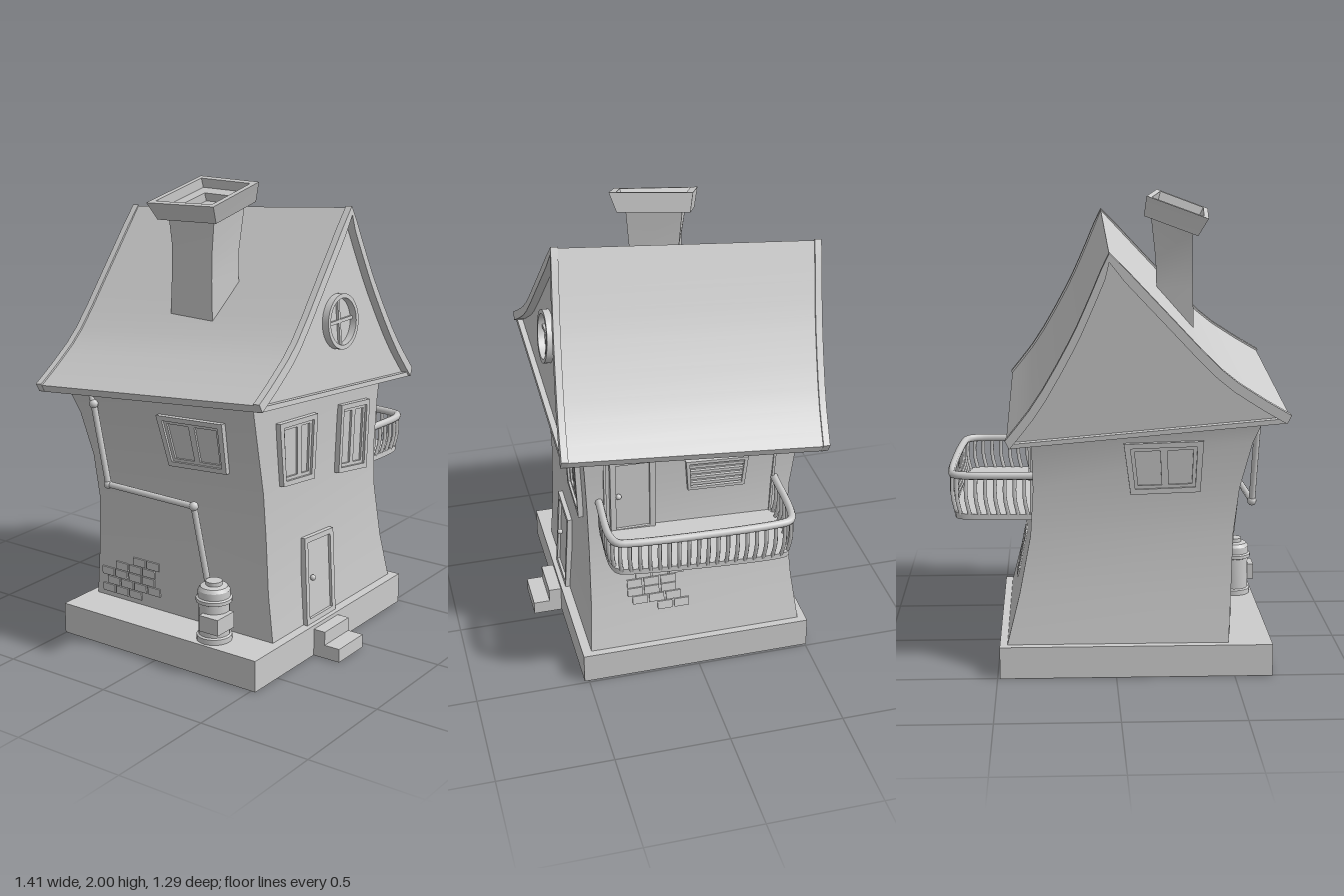
import * as THREE from 'three';
import { toCreasedNormals } from 'three/addons/utils/BufferGeometryUtils.js';

const material = new THREE.MeshStandardMaterial({ color: 0xcccccc, side: THREE.DoubleSide });
const lerp = THREE.MathUtils.lerp;
const V = (x, y, z) => new THREE.Vector3(x, y, z);

function add(parent, name, geometry) {
  const mesh = new THREE.Mesh(geometry, material);
  mesh.name = name;
  parent.add(mesh);
  return mesh;
}

// Skin a stack of cross-sections (each an array of points, anticlockwise) and cap both ends
function loft(rings, crease = 0.4) {
  const pos = [], n = rings[0].length, last = rings[rings.length - 1];
  const tri = (...pts) => pts.forEach(p => pos.push(p[0], p[1], p[2]));
  for (let i = 0; i < rings.length - 1; i++) for (let j = 0; j < n; j++) {
    const k = (j + 1) % n, [a, b, c, d] = [rings[i][j], rings[i][k], rings[i + 1][k], rings[i + 1][j]];
    tri(a, b, c); tri(a, c, d);
  }
  for (let j = 1; j < n - 1; j++) {
    tri(rings[0][0], rings[0][j + 1], rings[0][j]);
    tri(last[0], last[j], last[j + 1]);
  }
  const g = new THREE.BufferGeometry();
  g.setAttribute('position', new THREE.Float32BufferAttribute(pos, 3));
  return toCreasedNormals(g, crease);
}

function box(parent, name, x0, x1, y0, y1, z0, z1) {
  add(parent, name, new THREE.BoxGeometry(x1 - x0, y1 - y0, z1 - z0))
    .position.set((x0 + x1) / 2, (y0 + y1) / 2, (z0 + z1) / 2);
}

function rod(parent, name, a, b, r, sides = 8) {
  const mesh = add(parent, name, new THREE.CylinderGeometry(r, r, a.distanceTo(b), sides));
  mesh.position.copy(a).lerp(b, 0.5);
  mesh.quaternion.setFromUnitVectors(V(0, 1, 0), b.clone().sub(a).normalize());
}

function extrude(shape, depth, z, crease = 0.5) {
  const g = new THREE.ExtrudeGeometry(shape, { depth, bevelEnabled: false, curveSegments: 24 });
  return toCreasedNormals(g.translate(0, 0, z), crease);
}

// Crooked wall section: y, left x, right x, front z, back z
const SECTIONS = [
  [0.13, -0.475, 0.46, 0.48, -0.47], [0.35, -0.485, 0.405, 0.463, -0.445],
  [0.6, -0.492, 0.357, 0.455, -0.43], [0.8, -0.515, 0.345, 0.457, -0.44],
  [1.0, -0.565, 0.35, 0.465, -0.465], [1.2, -0.62, 0.355, 0.475, -0.49]];
function wallAt(y, column) {
  const i = Math.min(Math.max(SECTIONS.findIndex(s => s[0] > y), 1), SECTIONS.length - 1);
  const [a, b] = [SECTIONS[i - 1], SECTIONS[i]];
  return lerp(a[column], b[column], (y - a[0]) / (b[0] - a[0]));
}

// Wall coordinates: u to the right and v up as seen from outside, d outwards
const walls = {
  left: (u, v, d) => [wallAt(v, 1) - d, v, u],
  right: (u, v, d) => [wallAt(v, 2) + d, v, -u],
  front: (u, v, d) => [u, v, wallAt(v, 3) + d],
  back: (u, v, d) => [-u, v, wallAt(v, 4) - d],
};
const rect = (u0, u1, v0, v1) => [[u0, v0], [u1, v0], [u1, v1], [u0, v1]];
// Point inside a four-cornered outline, s and t from 0 to 1
function inQuad(q, s, t) {
  return [0, 1].map(i => lerp(lerp(q[0][i], q[1][i], s), lerp(q[3][i], q[2][i], s), t));
}
const part = (q, s0, s1, t0, t1) => [[s0, t0], [s1, t0], [s1, t1], [s0, t1]].map(([s, t]) => inQuad(q, s, t));

function slab(parent, name, wall, q, d0, d1) {
  add(parent, name, loft([d0, d1].map(d => q.map(([u, v]) => wall(u, v, d)))));
}
function frame(parent, name, wall, q, width, depth) {
  const w = width / (q[1][0] - q[0][0]), h = width / (q[3][1] - q[0][1]);
  const inner = part(q, w, 1 - w, h, 1 - h);
  for (let i = 0; i < 4; i++) {
    const k = (i + 1) % 4;
    slab(parent, name, wall, [q[i], q[k], inner[k], inner[i]], -0.02, depth);
  }
  return inner;
}
function windowUnit(parent, name, wall, q, split = 0.5) {
  const group = new THREE.Group();
  group.name = name;
  parent.add(group);
  const inner = frame(group, 'windowFrame', wall, q, 0.022, 0.022);
  slab(group, 'windowPane', wall, inner, -0.02, 0.003);
  for (const [a, b] of [[0, split], [split, 1]])
    frame(group, 'windowSash', wall, part(inner, a, b, 0, 1), 0.014, 0.012);
}
function door(parent, name, wall, q, knob) {
  const inner = frame(parent, name + 'Frame', wall, q, 0.024, 0.02);
  slab(parent, name, wall, inner, -0.02, 0.008);
  add(parent, name + 'Knob', new THREE.SphereGeometry(0.013, 10, 8)).position.set(...wall(...knob, 0.022));
}
function bricks(parent, wall, rows) {
  for (const [start, count, y] of rows) for (let i = 0; i < count; i++)
    slab(parent, 'brick', wall, rect(start + i * 0.075, start + i * 0.075 + 0.066, y, y + 0.036), -0.02, 0.007);
}

function buildRoof() {
  const roof = new THREE.Group();
  roof.name = 'roof';
  roof.position.y = 1.08;
  roof.rotation.x = -0.0866; // front tipped up
  const slope = pts => new THREE.SplineCurve(pts.map(p => new THREE.Vector2(...p))).getPoints(10);
  const top = [
    ...slope([[-0.7, 0.1], [-0.57, 0.178], [-0.415, 0.29], [-0.19, 0.525], [0.035, 0.765]]),
    ...slope([[0.035, 0.765], [0.115, 0.57], [0.193, 0.4], [0.325, 0.165], [0.45, 0]]).slice(1)];
  const offset = (dx, dy) => top.map(p => new THREE.Vector2(p.x - dx * Math.sign(Math.round((p.x - 0.035) * 100)), p.y - dy));
  const under = offset(0.012, 0.03);
  const shell = upper => new THREE.Shape([...upper, ...under.slice().reverse()]);
  add(roof, 'roofShell', extrude(shell(top), 1.15, -0.575));
  for (const z of [-0.58, 0.55]) add(roof, 'roofEdgeTrim', extrude(shell(offset(-0.005, -0.006)), 0.03, z));
  add(roof, 'attic', extrude(new THREE.Shape(under), 1.09, -0.545));
  // Board along the foot of each gable
  const board = new THREE.Shape([[-0.69, 0.07], [0.44, -0.03], [0.43, -0.01], [-0.66, 0.088]].map(p => new THREE.Vector2(...p)));
  for (const z of [-0.57, 0.545]) add(roof, 'gableBoard', extrude(board, 0.025, z));

  // Round gable window with a cross
  const rim = new THREE.Shape().absarc(-0.07, 0.31, 0.115, 0, Math.PI * 2);
  rim.holes.push(new THREE.Path().absarc(-0.07, 0.31, 0.097, 0, Math.PI * 2, true));
  add(roof, 'roundWindowRim', extrude(rim, 0.035, 0.54));
  box(roof, 'roundWindowBar', -0.077, -0.063, 0.21, 0.41, 0.54, 0.556);
  box(roof, 'roundWindowBar', -0.17, 0.03, 0.303, 0.317, 0.54, 0.556);
  return roof;
}

function buildChimney(parent) {
  const corners = [[-0.425, 1.92, 0.147], [-0.205, 2, 0.215], [-0.14, 1.99, -0.13], [-0.395, 1.9, -0.22]];
  const c = [-0.291, 1.953, 0.003], n = [-0.34, 0.94, 0.03];
  // Tilted ring of the cap, and level ring of the shaft
  const tilted = (s, h) => corners.map(p => p.map((v, i) => c[i] + (v - c[i]) * s + n[i] * h));
  const level = (s, y, x) => corners.map(p => [x + (p[0] - c[0]) * s, y, (p[2] - c[2]) * s]);
  add(parent, 'chimneyShaft', loft([level(0.66, 1.3, -0.275), level(0.6, 1.6, -0.277), level(0.6, 1.72, -0.273), tilted(0.68, -0.08)]));
  add(parent, 'chimneyCap', loft([tilted(0.88, -0.085), tilted(0.9, -0.07), tilted(1, 0),
    tilted(0.84, 0), tilted(0.8, -0.04), tilted(0.45, -0.04), tilted(0.42, -0.075)], 0.1));
}

function buildBalcony() {
  const balcony = new THREE.Group();
  balcony.name = 'balcony';
  const path = new THREE.CatmullRomCurve3([[0.34, 0.405], [0.6, 0.415], [0.65, 0.395], [0.665, 0.345],
    [0.688, -0.28], [0.675, -0.335], [0.63, -0.355], [0.34, -0.37]].map(([x, z]) => V(x, 0.843, z)));
  const points = path.getSpacedPoints(64);
  const floor = add(balcony, 'balconyFloor', extrude(new THREE.Shape(points.map(p => new THREE.Vector2(p.x - 0.01, -p.z))), 0.025, 0));
  floor.rotation.set(-Math.PI / 2 - 0.035, 0, 0);
  floor.position.y = 0.665;
  add(balcony, 'handrail', new THREE.TubeGeometry(path, 80, 0.017, 8));
  path.getSpacedPoints(34).slice(1, -1).forEach(p => {
    const foot = V(p.x - 0.015, 0.68 + 0.035 * p.z, p.z * 0.98);
    const middle = foot.clone().lerp(p, 0.45).add(V(0.009, 0, p.z * 0.015));
    add(balcony, 'baluster', new THREE.TubeGeometry(new THREE.CatmullRomCurve3([foot, middle, p]), 6, 0.009, 6));
  });
  return balcony;
}

function buildHeater() {
  const heater = new THREE.Group();
  heater.name = 'waterHeater';
  const profile = [[0, 0], [0.075, 0], [0.075, 0.025], [0.066, 0.03], [0.066, 0.17], [0.077, 0.175], [0.077, 0.19],
    [0.068, 0.195], [0.068, 0.225], [0.058, 0.24], [0.035, 0.245], [0.035, 0.262], [0, 0.262]];
  const tank = new THREE.LatheGeometry(profile.map(p => new THREE.Vector2(...p)), 20);
  add(heater, 'tank', toCreasedNormals(tank, 0.5)).position.set(-0.573, 0.135, 0.25);
  box(heater, 'controlBox', -0.665, -0.55, 0.2, 0.27, 0.24, 0.335);
  const run = [V(-0.58, 1.14, -0.4), V(-0.597, 1.06, -0.36), V(-0.585, 0.71, -0.3), V(-0.575, 0.7, 0.15), V(-0.548, 0.36, 0.2)];
  for (let i = 1; i < run.length; i++) {
    rod(heater, 'pipe', run[i - 1], run[i], 0.014, 10);
    add(heater, 'pipeElbow', new THREE.SphereGeometry(0.02, 10, 8)).position.copy(run[i]);
  }
  return heater;
}

export function createModel() {
  const house = new THREE.Group();
  house.name = 'crookedHouse';
  box(house, 'foundation', -0.66, 0.49, 0, 0.137, -0.505, 0.52);
  box(house, 'upperStep', -0.225, -0.035, 0, 0.12, 0.5, 0.575);
  box(house, 'lowerStep', -0.225, -0.035, 0, 0.06, 0.5, 0.648);

  // Walls end at the sloping underside of the roof
  const soffit = (x, z) => 1.13 - 0.087 * (x + 0.125) + 0.087 * z;
  const rings = SECTIONS.map(([y, l, r, f, b], i) => [[l, f], [r, f], [r, b], [l, b]]
    .map(([x, z]) => [x, i === SECTIONS.length - 1 ? soffit(x, z) : Math.min(y, soffit(x, z) - 0.01), z]));
  add(house, 'walls', loft(rings, 0.5));

  const { front, back, left, right } = walls;
  windowUnit(house, 'frontLeftWindow', front, [[-0.4, 0.8], [-0.17, 0.775], [-0.167, 1.06], [-0.447, 1.08]], 0.58);
  windowUnit(house, 'frontRightWindow', front, [[0.02, 0.745], [0.25, 0.71], [0.25, 1.025], [0.02, 1.05]]);
  windowUnit(house, 'backWindow', back, [[0.06, 0.78], [0.35, 0.79], [0.36, 1.01], [0.03, 1.0]]);
  windowUnit(house, 'sideWindow', left, [[0.0, 0.84], [0.3, 0.86], [0.32, 1.09], [-0.02, 1.07]]);
  door(house, 'frontDoor', front, [[-0.245, 0.135], [-0.022, 0.135], [-0.018, 0.51], [-0.238, 0.525]], [-0.185, 0.335]);
  door(house, 'balconyDoor', right, [[-0.36, 0.68], [-0.165, 0.68], [-0.165, 1.045], [-0.36, 1.05]], [-0.325, 0.87]);
  frame(house, 'balconySurround', right, [[-0.385, 0.67], [0.355, 0.66], [0.375, 1.0], [-0.385, 1.07]], 0.01, 0.006);

  // Louvred vent beside the balcony door
  const vent = frame(house, 'ventFrame', right, [[-0.02, 0.85], [0.23, 0.84], [0.245, 0.98], [-0.03, 0.995]], 0.014, 0.02);
  for (let i = 0; i < 4; i++) slab(house, 'ventSlat', right, part(vent, 0, 1, i / 4 + 0.05, i / 4 + 0.17), -0.01, 0.014);

  // Patches of bare brick: start, count, height
  bricks(house, right, [[-0.17, 2, 0.29], [-0.28, 3, 0.33], [-0.3, 3, 0.37], [-0.3, 3, 0.41], [-0.26, 3, 0.45]]
    .map(([u, n, y]) => [u, n, y - 0.005]));
  bricks(house, left, [[-0.43, 3, 0.16], [-0.4, 4, 0.2], [-0.43, 4, 0.24], [-0.35, 3, 0.28], [-0.25, 2, 0.32]]);

  house.add(buildRoof(), buildBalcony(), buildHeater());
  buildChimney(house);
  return house;
}
